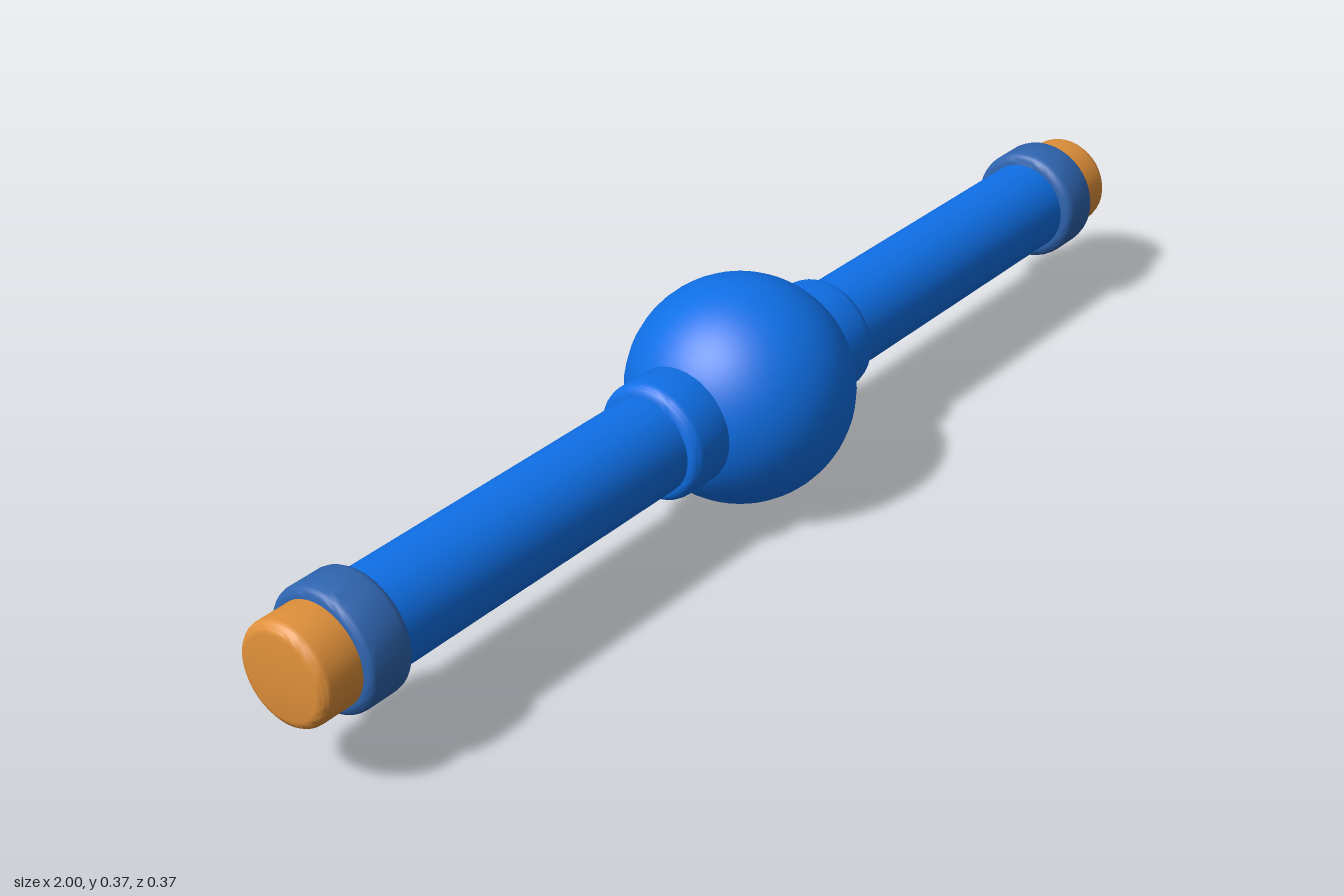
import * as THREE from 'three';
import { toCreasedNormals } from 'three/addons/utils/BufferGeometryUtils.js';

const blue = new THREE.MeshStandardMaterial({ color: 0x0f70e8 });
blue.name = 'bright blue';
const steel = new THREE.MeshStandardMaterial({ color: 0x2f65b0 });
steel.name = 'greyed blue';
const orange = new THREE.MeshStandardMaterial({ color: 0xe0903a });
orange.name = 'orange';

const CENTRE = 0.184;

// Closed round bar along +x from x0 to x1, with rounded rims of radius bevel
function roundBar(name, material, x0, x1, radius, bevel = 0) {
  const points = [new THREE.Vector2(0, x0)];
  if (bevel === 0) {
    points.push(new THREE.Vector2(radius, x0), new THREE.Vector2(radius, x1));
  } else {
    const steps = 4;
    for (const [x, start] of [[x0 + bevel, -Math.PI / 2], [x1 - bevel, 0]]) {
      for (let i = 0; i <= steps; i++) {
        const a = start + (i / steps) * Math.PI / 2;
        points.push(new THREE.Vector2(radius - bevel + bevel * Math.cos(a), x + bevel * Math.sin(a)));
      }
    }
  }
  points.push(new THREE.Vector2(0, x1));
  const geometry = toCreasedNormals(new THREE.LatheGeometry(points, 40), 0.6);
  geometry.rotateZ(-Math.PI / 2);
  const mesh = new THREE.Mesh(geometry, material);
  mesh.name = name;
  return mesh;
}

// One half of the bar: hub collar, tube, end ring and cap
function createArm(name) {
  const arm = new THREE.Group();
  arm.name = name;
  arm.add(
    roundBar('hubCollar', blue, 0.1, 0.235, 0.097, 0.018),
    roundBar('tube', blue, 0.12, 0.91, 0.079),
    roundBar('endRing', steel, 0.845, 0.928, 0.098, 0.015),
    roundBar('endCap', orange, 0.88, 1, 0.081, 0.016),
  );
  return arm;
}

export function createModel() {
  const model = new THREE.Group();
  model.name = 'ballJointBar';

  // Central ball
  const ball = new THREE.Mesh(new THREE.SphereGeometry(0.184, 40, 28), blue);
  ball.name = 'centreBall';
  ball.position.y = CENTRE;
  model.add(ball);

  // Matching arms on both sides
  const leftArm = createArm('leftArm');
  const rightArm = createArm('rightArm');
  rightArm.rotation.y = Math.PI;
  for (const arm of [leftArm, rightArm]) {
    arm.position.y = CENTRE + 0.002;
    model.add(arm);
  }
  return model;
}
